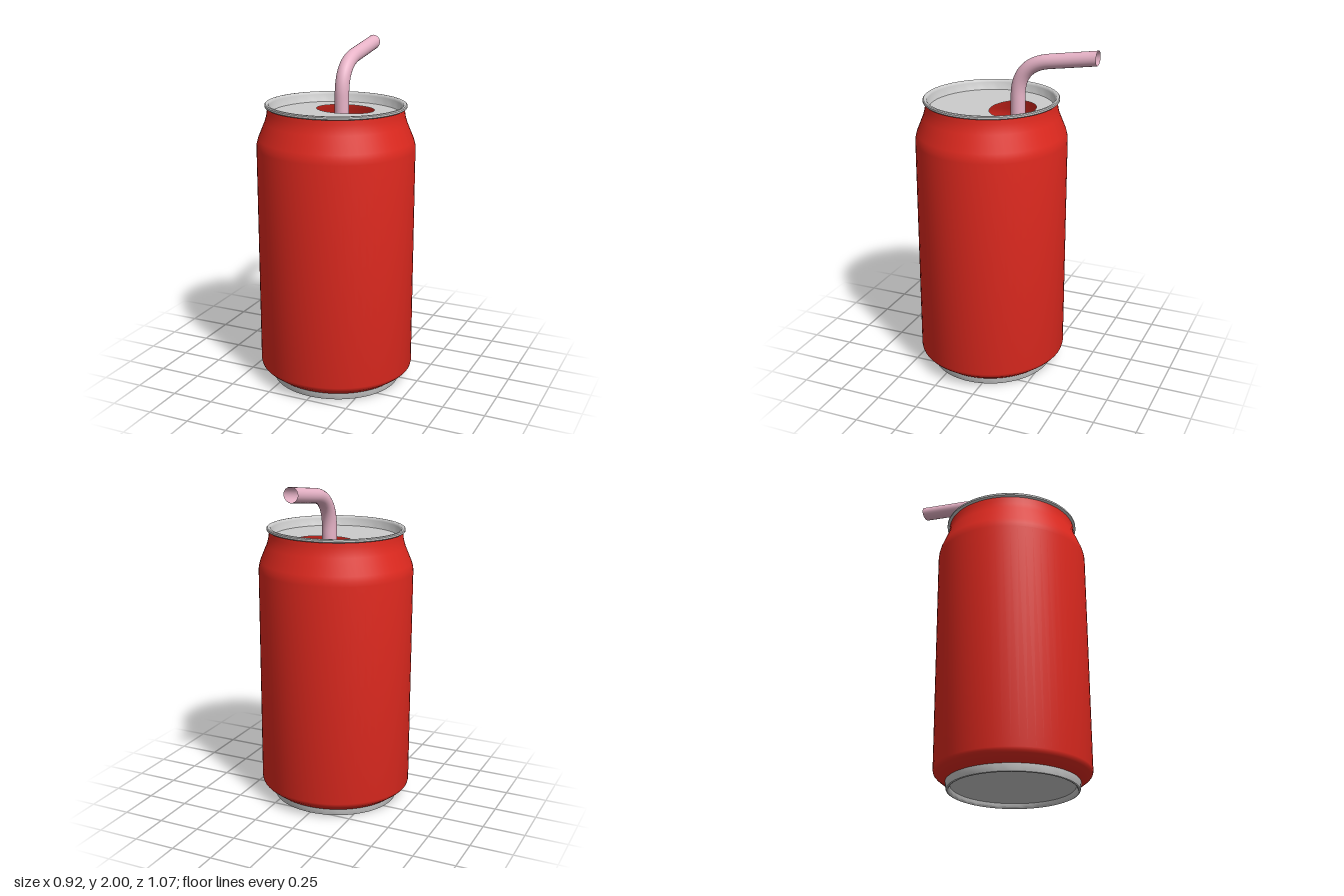
import * as THREE from 'three';
import { toCreasedNormals } from 'three/addons/utils/BufferGeometryUtils.js';

const SEGMENTS = 64;
const grey = new THREE.MeshStandardMaterial({ color: 0xcccccc, side: THREE.DoubleSide });
const red = new THREE.MeshStandardMaterial({ color: 0xe0291f, side: THREE.DoubleSide });
const pink = new THREE.MeshStandardMaterial({ color: 0xe8b4c8, side: THREE.DoubleSide });

function addMesh(parent, name, geometry, material) {
  const mesh = new THREE.Mesh(geometry, material);
  mesh.name = name;
  parent.add(mesh);
  return mesh;
}

// Turns a [radius, height] profile around the y axis
function turned(profile) {
  const points = profile.map(([r, y]) => new THREE.Vector2(r, y));
  return toCreasedNormals(new THREE.LatheGeometry(points, SEGMENTS), 0.7);
}

export function createModel() {
  const model = new THREE.Group();
  model.name = 'drinkCan';

  // The can is slightly flattened front to back and sits forward of the straw's end
  const can = new THREE.Group();
  can.name = 'can';
  can.scale.z = 0.957;
  can.position.z = 0.089;
  model.add(can);

  // Red shell with tapered foot and shoulder, closed inside at the bottom
  addMesh(can, 'body', turned([
    [0, 0.045], [0.39, 0.045], [0.4, 0.048], [0.448, 0.084], [0.458, 0.095], [0.462, 0.11],
    [0.462, 1.43], [0.46, 1.455], [0.452, 1.485], [0.412, 1.58], [0.402, 1.615],
    [0.398, 1.64], [0.396, 1.668],
  ]), red);

  // Foot ring with a shallow recessed bottom
  addMesh(can, 'base', turned([
    [0, 0.028], [0.362, 0.028], [0.366, 0.01], [0.371, 0.002], [0.377, 0],
    [0.384, 0.003], [0.387, 0.01], [0.391, 0.046],
  ]), grey);

  // Rolled rim and the wall down to the lid
  addMesh(can, 'rim', turned([
    [0.396, 1.664], [0.406, 1.665], [0.411, 1.67], [0.411, 1.68], [0.406, 1.685],
    [0.394, 1.685], [0.388, 1.681], [0.384, 1.67], [0.377, 1.63], [0.374, 1.625],
  ]), grey);

  // Lid with an oval drinking hole
  const lidShape = new THREE.Shape().absarc(0, 0, 0.376, 0, Math.PI * 2);
  lidShape.holes.push(new THREE.Path().absellipse(0, 0.139, 0.176, 0.134, 0, Math.PI * 2, true));
  const lid = addMesh(can, 'lid', new THREE.ShapeGeometry(lidShape, 32), grey);
  lid.rotation.x = -Math.PI / 2;
  lid.position.y = 1.627;

  // Hollow bent straw leaning out of the back
  const at = (y, z) => new THREE.Vector3(-0.031, y, z);
  const path = new THREE.CurvePath();
  path.add(new THREE.LineCurve3(at(0.1, -0.063), at(1.7, -0.063)));
  path.add(new THREE.QuadraticBezierCurve3(at(1.7, -0.063), at(1.887, -0.063), at(1.915, -0.25)));
  path.add(new THREE.LineCurve3(at(1.915, -0.25), at(1.959, -0.545)));
  const strawGeometry = new THREE.TubeGeometry(path, 120, 0.0425, 24, false);

  // Cut the open end off upright
  const p = strawGeometry.attributes.position;
  for (let i = 0; i < p.count; i++) p.setZ(i, Math.max(p.getZ(i), -0.535));
  addMesh(model, 'straw', strawGeometry, pink);

  return model;
}
